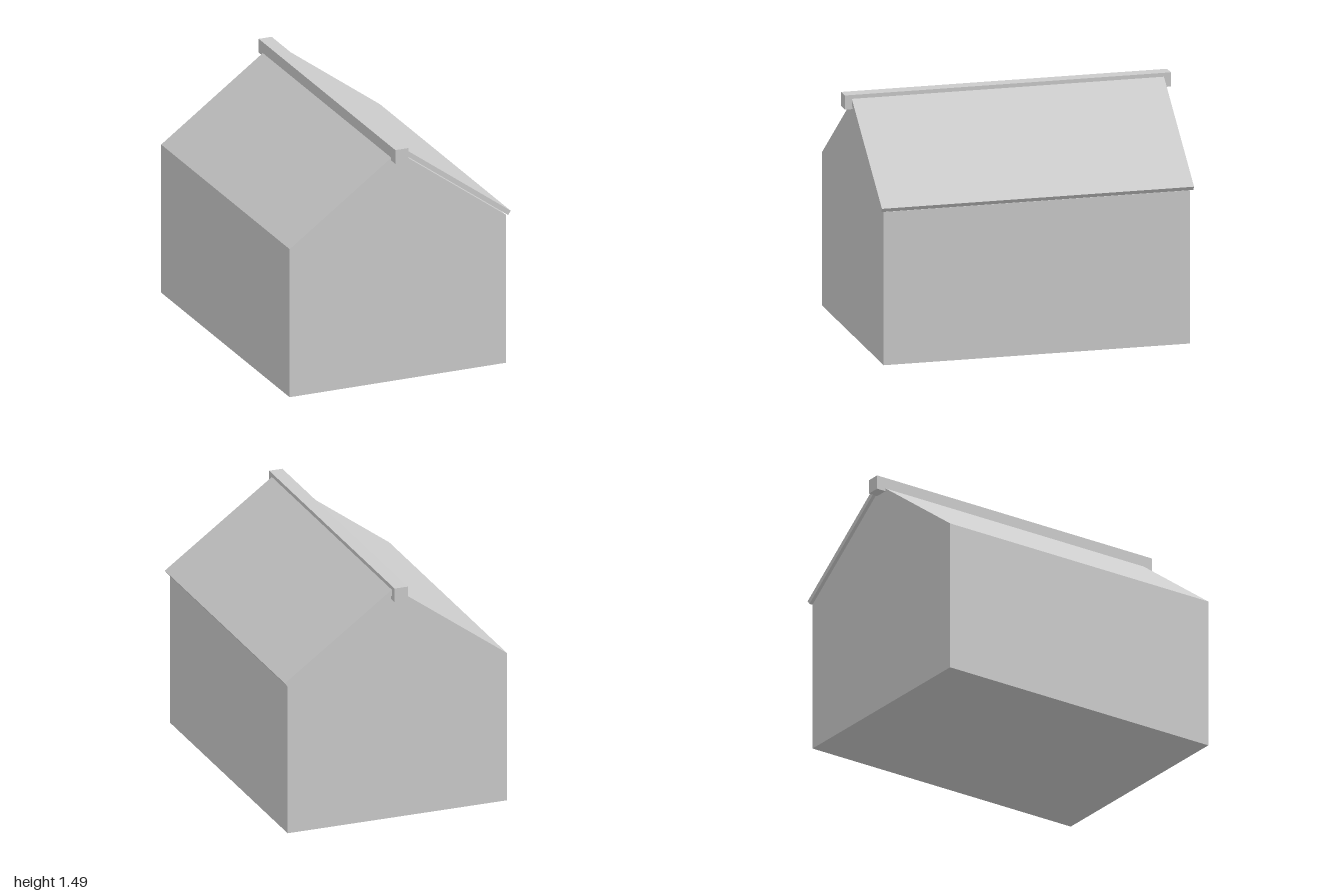
import * as THREE from 'three';

const material = new THREE.MeshStandardMaterial({ color: 0xcccccc, flatShading: true });

// Extrudes an x/y outline along z, centred on z = 0
function prism(name, points, depth) {
  const shape = new THREE.Shape(points.map(([x, y]) => new THREE.Vector2(x, y)));
  const geometry = new THREE.ExtrudeGeometry(shape, { depth, bevelEnabled: false });
  geometry.translate(0, 0, -depth / 2);
  const mesh = new THREE.Mesh(geometry, material);
  mesh.name = name;
  return mesh;
}

export function createModel() {
  const group = new THREE.Group();
  group.name = 'gabledHouse';

  const centre = -0.014, half = 0.7, eaves = 0.94;
  const pitch = THREE.MathUtils.degToRad(36);
  const apex = eaves + half * Math.tan(pitch);

  // Walls and gables as one solid
  group.add(prism('houseBody', [
    [centre - half, 0], [centre + half, 0], [centre + half, eaves],
    [centre, apex], [centre - half, eaves],
  ], 1.88));

  // Single roof panel, lying just above the left slope
  const length = half / Math.cos(pitch), thickness = 0.03;
  const panel = prism('roofPanel', [
    [-length, 0], [0, 0], [0, thickness], [-length, thickness],
  ], 1.915);
  panel.position.set(0.693, 0.943, 0);
  panel.rotation.z = -pitch;
  group.add(panel);

  // Ridge beam projecting past both gables
  const ridge = new THREE.Mesh(new THREE.BoxGeometry(0.084, 0.087, 2), material);
  ridge.name = 'ridgeBeam';
  ridge.position.set(centre, 1.4435, 0);
  group.add(ridge);

  return group;
}
